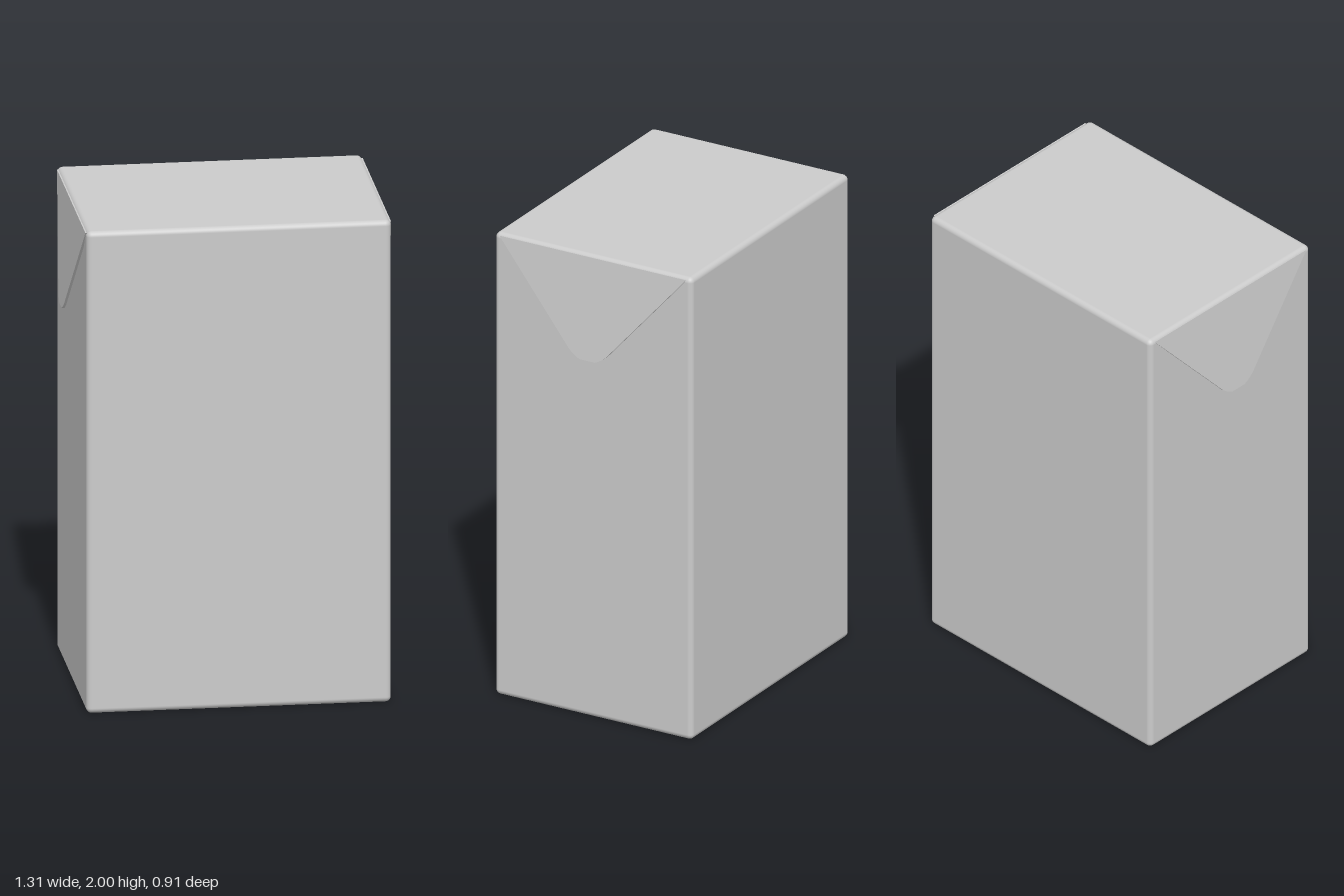
import * as THREE from 'three';
import { RoundedBoxGeometry } from 'three/addons/geometries/RoundedBoxGeometry.js';

const W = 1.22, H = 2, D = 0.914;

// Folded triangular ear with a rounded tip, hinged along the top side edge
function flapGeometry() {
  const s = new THREE.Shape();
  s.moveTo(-0.432, 0);
  s.lineTo(-0.085, -0.4);
  s.quadraticCurveTo(-0.06, -0.422, -0.035, -0.432);
  s.lineTo(0.035, -0.432);
  s.quadraticCurveTo(0.06, -0.422, 0.085, -0.4);
  s.lineTo(0.432, 0);
  s.closePath();
  const g = new THREE.ExtrudeGeometry(s, { depth: 0.01, bevelEnabled: false, curveSegments: 4 });
  g.rotateY(Math.PI / 2);
  g.rotateZ(0.1); // tip stands slightly away from the wall
  g.translate(W / 2 - 0.008, H - 0.01, 0);
  return g;
}

export function createModel() {
  const group = new THREE.Group();
  const material = new THREE.MeshStandardMaterial({ color: 0xcccccc });

  // Carton body with softly rounded edges
  const body = new THREE.Mesh(new RoundedBoxGeometry(W, H, D, 4, 0.022), material);
  body.name = 'cartonBody';
  body.position.y = H / 2;
  group.add(body);

  // One flap on each side
  const geometry = flapGeometry();
  for (const [name, turn] of [['leftFlap', 0], ['rightFlap', Math.PI]]) {
    const flap = new THREE.Mesh(geometry, material);
    flap.name = name;
    flap.rotation.y = turn;
    group.add(flap);
  }
  return group;
}
